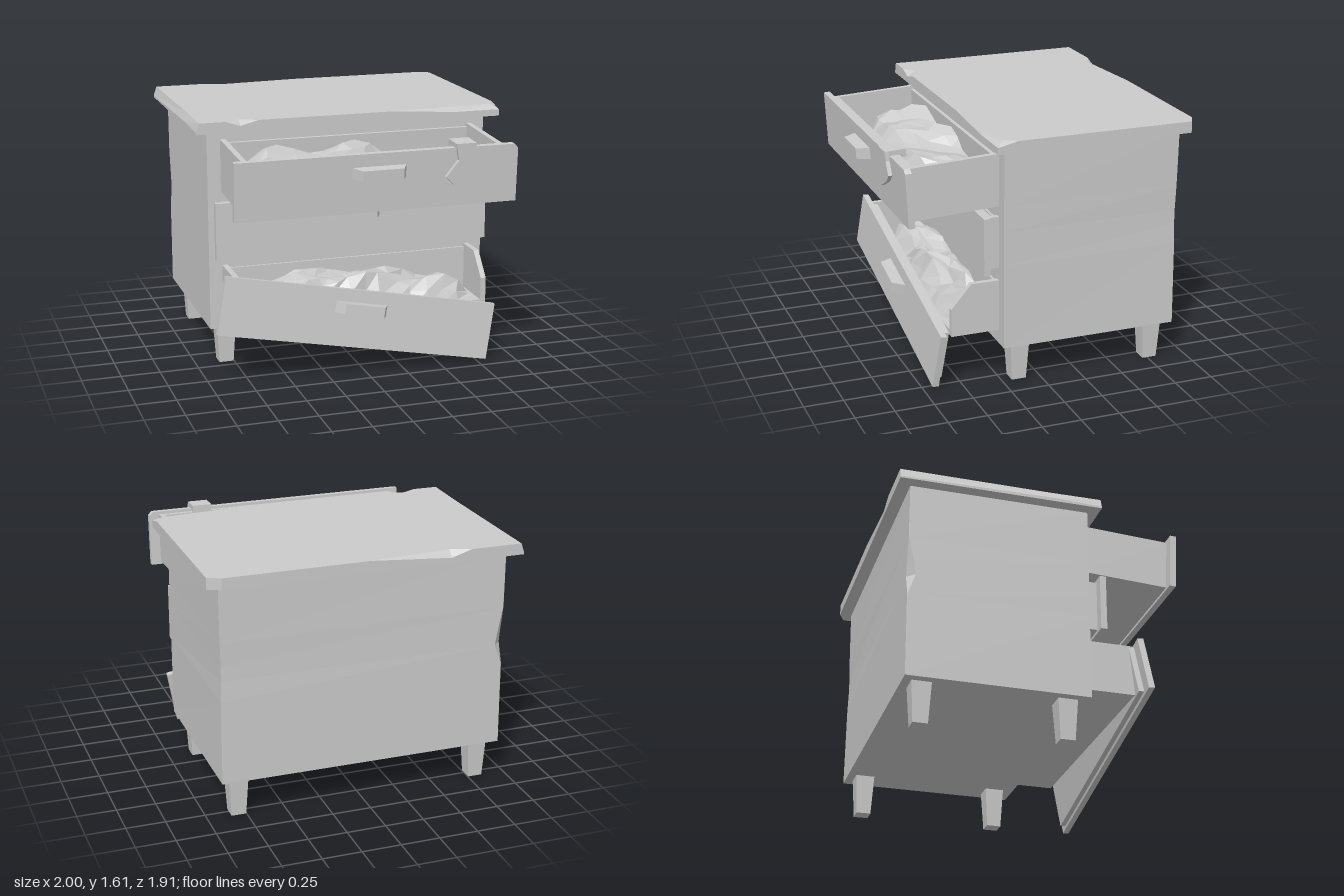
import * as THREE from 'three';

const grey = new THREE.MeshStandardMaterial({ color: 0xcccccc, flatShading: true, side: THREE.DoubleSide });

function add(parent, name, geometry, x = 0, y = 0, z = 0) {
  const mesh = new THREE.Mesh(geometry, grey);
  mesh.name = name;
  mesh.position.set(x, y, z);
  parent.add(mesh);
  return mesh;
}

const box = (w, h, d) => new THREE.BoxGeometry(w, h, d);

// Flat sheet of a given thickness cut from an outline
function plate(points, depth) {
  const shape = new THREE.Shape(points.map(([x, y]) => new THREE.Vector2(x, y)));
  return new THREE.ExtrudeGeometry(shape, { depth, bevelEnabled: false });
}

// Solid skinned over a stack of rings, closed by a fan at each end
function loft(rings) {
  const out = [], n = rings[0].length;
  const tri = (a, b, c) => out.push(...a, ...b, ...c);
  for (let i = 0; i + 1 < rings.length; i++) {
    for (let j = 0; j < n; j++) {
      const k = (j + 1) % n, [r, s] = [rings[i], rings[i + 1]];
      tri(r[j], r[k], s[k]);
      tri(r[j], s[k], s[j]);
    }
  }
  const centre = (r) => [0, 1, 2].map((c) => r.reduce((sum, p) => sum + p[c], 0) / n);
  const first = rings[0], last = rings[rings.length - 1];
  for (let j = 0; j < n; j++) {
    const k = (j + 1) % n;
    tri(centre(first), first[k], first[j]);
    tri(centre(last), last[j], last[k]);
  }
  const g = new THREE.BufferGeometry();
  g.setAttribute('position', new THREE.Float32BufferAttribute(out, 3));
  g.computeVertexNormals();
  return g;
}

// Tapered block handle, wide at its base
function handle(parent, x, y, z) {
  const ring = (w, h, d) => [[w, -h, d], [w, h, d], [-w, h, d], [-w, -h, d]];
  add(parent, 'handle', loft([ring(0.17, 0.036, 0), ring(0.13, 0.034, 0.08)]), x, y, z);
}

const hash = (n) => { const s = Math.sin(n * 127.1) * 43758.5453; return s - Math.floor(s); };

// Crumpled clothes: a faceted mound that drops at its sides and front
function clothes(parent, depth, seed) {
  const nx = 15, nz = 6;
  const g = new THREE.PlaneGeometry(2, 1, nx, nz).rotateX(-Math.PI / 2);
  const p = g.attributes.position;
  for (let i = 0; i < p.count; i++) {
    const u = p.getX(i), v = p.getZ(i) + 0.5;
    const ends = Math.min(1, (1 - Math.abs(u)) * 5 + 0.12), front = Math.min(1, (1 - v) * 3);
    const inner = Math.abs(u) < 0.99 && v > 0.01 && v < 0.99 ? 1 : 0;
    const fold = 0.03 * Math.sin(u * 9 + v * 5 + seed) + 0.045 * (hash(i + seed * 57) - 0.5);
    const crown = 0.2 - 0.1 * Math.max(0, u);
    p.setXYZ(i,
      u * 0.77 + inner * 0.07 * (hash(i + 300 + seed) - 0.5),
      -0.13 + Math.max(0, (crown + fold) * ends * front),
      v * depth * (1 - 0.3 * u ** 4) + inner * 0.05 * (hash(i + 700 + seed) - 0.5));
  }
  const flat = g.toNonIndexed();
  flat.computeVertexNormals();
  add(parent, 'clothes', flat);
}

// Open drawer tray reaching forward from the cabinet face
function tray(parent, d, cut = 0) {
  const h = 0.165, t = 0.035, w = 0.835;
  const side = (c) => plate([[-0.02, -h], [d, -h], [d, h - c], [d - c * 0.87, h], [-0.02, h]], t).rotateY(-Math.PI / 2);
  add(parent, 'leftSide', side(cut), w);
  add(parent, 'rightSide', side(0), -w + t);
  add(parent, 'drawerFloor', box(2 * w - 2 * t, t, d + 0.02), 0, -h + t / 2, d / 2 - 0.01);
  add(parent, 'drawerBack', box(2 * w - 2 * t, 2 * h - 0.02, 0.03), 0, -0.01, 0);
}

function frontPanel(parent, z, chip = 0) {
  const w = 0.9, h = 0.183;
  const outline = [[-w, -h], [w, -h], [w, h - chip], [w - chip, h], [-w, h]];
  add(parent, 'drawerFront', plate(outline, 0.04), 0, 0, z);
  add(parent, 'innerFront', box(1.66, 0.33, 0.035), 0, 0, z - 0.02);
  handle(parent, 0, 0.068, z + 0.04);
}

function group(parent, name, x, y, z, rx = 0, rz = 0) {
  const g = new THREE.Group();
  g.name = name;
  g.position.set(x, y, z);
  g.rotation.set(rx, 0, rz);
  parent.add(g);
  return g;
}

export function createModel() {
  const model = new THREE.Group();
  model.name = 'brokenDresser';

  // Cabinet with a splintered notch in its rear right edge
  const bodyRing = ([y, c, b]) => [
    [0.92, y, 0.27], [0.92 - b, y, -0.88 + b], [-0.92 + c, y, -0.88], [-0.92, y, -0.88 + c], [-0.92, y, 0.27],
  ];
  add(model, 'cabinet', loft([
    [0.26, 0, 0], [0.8, 0.004, 0.004], [0.93, 0.05, 0.008], [1.02, 0.035, 0.008], [1.18, 0.004, 0.004], [1.54, 0, 0],
  ].map(bodyRing)));

  // Worktop: x, z, then the upper x, z and depth of each chip
  const edge = [
    [1, 0.34, 0.95, 0.29, 0.03], [1, 0.21], [1, -0.92], [0.92, -0.96], [0, -0.96],
    [-0.52, -0.96, -0.52, -0.915, 0.04], [-0.65, -0.96], [-1, -0.96, -0.98, -0.96, 0.06],
    [-1, 0, -0.975, 0, 0.05], [-1, 0.34, -0.98, 0.34, 0.06], [-0.82, 0.34],
    [-0.72, 0.34, -0.72, 0.29, 0.03], [-0.6, 0.34], [0.27, 0.34], [0.7, 0.34, 0.7, 0.313, 0.03],
  ];
  add(model, 'worktop', loft([
    edge.map(([x, z]) => [x, 1.54, z]),
    edge.map(([x, z, , , drop = 0]) => [x, 1.612 - drop, z]),
    edge.map(([x, z, tx = x, tz = z]) => [tx, 1.612, tz]),
  ]));

  // Tapered legs
  const legRing = (r, y) => [[r, y, r], [r, y, -r], [-r, y, -r], [-r, y, r]];
  for (const x of [-0.8, 0.8]) {
    for (const z of [0.14, -0.765]) add(model, 'leg', loft([legRing(0.047, 0), legRing(0.062, 0.26)]), x, 0, z);
  }

  // Top drawer, pulled out and sagging
  const top = group(model, 'topDrawer', 0, 1.325, 0.27, 0.052);
  tray(top, 0.56);
  frontPanel(top, 0.56, 0.025);
  clothes(top, 0.51, 1);

  // Cloth hanging over the top drawer front
  const hanging = [
    [0.48, 0.215], [0.50, 0.11], [0.42, 0.01], [0.47, -0.04], [0.6, 0.025], [0.65, 0.075], [0.615, 0.155], [0.61, 0.215],
  ].reverse();
  add(top, 'hangingCloth', plate(hanging, 0.025), 0, 0, 0.605);
  add(top, 'clothFold', box(0.13, 0.03, 0.12), 0.545, 0.2, 0.56);
  add(top, 'clothTail', box(0.13, 0.05, 0.025), 0.545, 0.19, 0.51);

  // Middle drawer, slightly open
  const middle = group(model, 'middleDrawer', 0, 0.928, 0.27);
  tray(middle, 0.08);
  frontPanel(middle, 0.08);

  // Bottom drawer with a broken side and its front hanging askew
  const bottom = group(model, 'bottomDrawer', 0, 0.515, 0.27);
  tray(bottom, 0.31, 0.15);
  clothes(bottom, 0.31, 4);
  const loose = group(model, 'looseFront', -0.05, 0.36, 0.62, -0.1, -0.19);
  frontPanel(loose, 0);

  return model;
}
